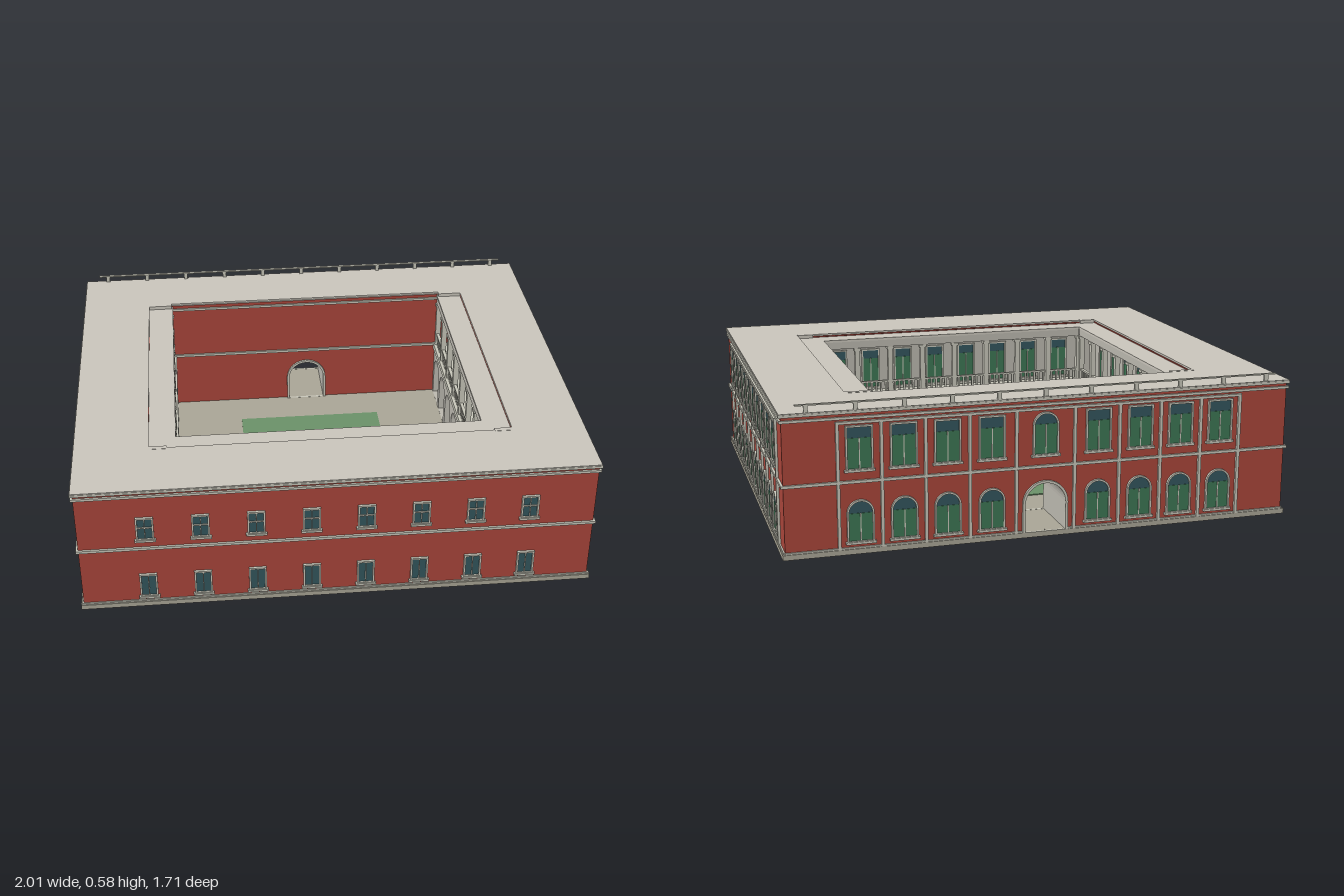
import * as THREE from 'three';

const mat = (name, color) => Object.assign(new THREE.MeshStandardMaterial({ color }), { name });
const M = {
  red: mat('redPlaster', 0xa8453a), roof: mat('roofStone', 0xc8c4ba), trim: mat('paleTrim', 0xc6c5b8),
  plaster: mat('courtPlaster', 0xbab7ae), floor: mat('paving', 0xa8a495), green: mat('greenShutter', 0x3c7553),
  glass: mat('windowGlass', 0x33555c), lawn: mat('lawn', 0x6a9068),
};
const WX = 0.99, WZ = 0.84, TOP = 0.535, IX = 0.71, IB = -0.59, IF = 0.57; // wall planes

function add(parent, name, geo, material, x = 0, y = 0, z = 0) {
  const m = new THREE.Mesh(geo, material);
  m.name = name;
  m.position.set(x, y, z);
  parent.add(m);
  return m;
}
// box given by its ranges
function box(parent, name, material, x0, x1, y0, y1, z0, z1) {
  return add(parent, name, new THREE.BoxGeometry(x1 - x0, y1 - y0, z1 - z0), material,
    (x0 + x1) / 2, (y0 + y1) / 2, (z0 + z1) / 2);
}
const rect = (T, x0, x1, y0, y1) => new T([[x0, y0], [x1, y0], [x1, y1], [x0, y1]].map(p => new THREE.Vector2(...p)));
// opening standing on y0, round-headed when arched
function opening(T, x, w, y0, y1, arched) {
  if (!arched) return rect(T, x - w / 2, x + w / 2, y0, y1);
  const p = new T();
  p.moveTo(x - w / 2, y0);
  p.lineTo(x + w / 2, y0);
  p.lineTo(x + w / 2, y1 - w / 2);
  p.absarc(x, y1 - w / 2, w / 2, 0, Math.PI, false);
  p.lineTo(x - w / 2, y0);
  return p;
}
const extrude = (shape, depth) => new THREE.ExtrudeGeometry(shape, { depth, bevelEnabled: false, curveSegments: 10 });

// horizontal ring around a rectangular hole
function ring(parent, name, material, o, h, y, t) {
  const s = rect(THREE.Shape, o[0], o[1], -o[3], -o[2]);
  s.holes.push(rect(THREE.Path, h[0], h[1], -h[3], -h[2]));
  add(parent, name, extrude(s, t).rotateX(-Math.PI / 2), material, 0, y, 0);
}

// window on a wall facing local +z
function windowUnit(parent, name, x, w, y0, y1, { arched = false, shutter = 1, cross = false, z = 0 } = {}) {
  const g = new THREE.Group();
  g.name = name;
  g.position.set(x, 0, z);
  parent.add(g);
  const f = 0.007, split = y0 + (y1 - y0) * shutter;
  add(g, 'glass', extrude(opening(THREE.Shape, 0, w, y0, y1, arched), 0.003), M.glass);
  if (shutter > 0) box(g, 'shutters', M.green, -w / 2, w / 2, y0, split, 0, 0.005);
  const frame = opening(THREE.Shape, 0, w + 2 * f, y0 - f, y1 + f, arched);
  frame.holes.push(opening(THREE.Path, 0, w, y0, y1, arched));
  add(g, 'frame', extrude(frame, 0.01), M.trim);
  box(g, 'mullion', M.trim, -0.002, 0.002, y0, shutter > 0 ? split : y1, 0, 0.008);
  if (cross) box(g, 'crossbar', M.trim, -w / 2, w / 2, y0 + 0.048, y0 + 0.053, 0, 0.008);
  box(g, 'sill', M.trim, -w / 2 - 0.013, w / 2 + 0.013, y0 - 0.012, y0 - 0.003, 0, 0.014);
}

function facade(parent, name, x, z, turn) {
  const g = new THREE.Group();
  g.name = name;
  g.position.set(x, 0, z);
  g.rotation.y = turn;
  parent.add(g);
  return g;
}

// tall windows between slim pilasters; the gate replaces the middle ground window
function grandFacade(g, xs, edges, gate) {
  for (const x of xs) {
    const middle = gate && x === 0;
    windowUnit(g, 'upperWindow', x, 0.088, 0.325, 0.48, { shutter: 0.74, arched: middle });
    if (!middle) windowUnit(g, 'archedWindow', x, 0.088, 0.05, 0.2, { shutter: 0.7, arched: true });
  }
  for (const e of edges) {
    box(g, 'pilaster', M.trim, e - 0.006, e + 0.006, 0.02, 0.27, 0, 0.01);
    box(g, 'pilaster', M.trim, e - 0.006, e + 0.006, 0.28, 0.5, 0, 0.01);
  }
  box(g, 'upperMoulding', M.trim, edges[0] - 0.006, edges[edges.length - 1] + 0.006, 0.494, 0.504, 0, 0.011);
}

// two-storey courtyard gallery, front plane at local z = 0, wall at z = -d
function gallery(g, w, n, d) {
  const step = w / n, half = w / 2;
  const wall = rect(THREE.Shape, -half, half, 0.02, 0.25);
  for (let i = 0; i < n; i++)
    wall.holes.push(opening(THREE.Path, -half + (i + 0.5) * step, step - 0.035, 0.021, 0.215, true));
  add(g, 'arcade', extrude(wall, 0.025), M.plaster, 0, 0, -0.025);
  box(g, 'galleryWall', M.plaster, -half - d, half + d, 0.02, 0.53, -d - 0.004, -d + 0.004);
  box(g, 'galleryFloor', M.trim, -half - d, half + d, 0.25, 0.275, -d, 0.006);
  box(g, 'galleryBeam', M.plaster, -half, half, 0.49, 0.525, -0.025, 0);
  box(g, 'handrail', M.trim, -half, half, 0.325, 0.333, -0.018, -0.004);
  for (let i = 0; i <= n; i++) {
    const x = -half + i * step;
    box(g, 'post', M.trim, x - 0.011, x + 0.011, 0.275, 0.49, -0.023, 0);
    box(g, 'capital', M.trim, x - 0.016, x + 0.016, 0.478, 0.49, -0.025, 0.005);
    if (i === n) break;
    for (let k = 1; k < 7; k++) {
      const bx = x + k * step / 7;
      box(g, 'baluster', M.trim, bx - 0.004, bx + 0.004, 0.275, 0.325, -0.015, -0.007);
    }
    windowUnit(g, 'galleryDoor', x + step / 2, 0.07, 0.29, 0.46, { shutter: 0.78, z: -d + 0.004 });
    windowUnit(g, 'groundDoor', x + step / 2, 0.07, 0.035, 0.19, { shutter: 0.75, arched: true, z: -d + 0.004 });
  }
}

export function createModel() {
  const model = new THREE.Group();
  model.name = 'courtyardBuilding';

  // base and courtyard ground
  box(model, 'base', M.floor, -1, 1, 0, 0.02, -0.85, 0.85);
  box(model, 'lawn', M.lawn, -0.315, 0.315, 0.019, 0.024, -0.41, 0.02);

  // wings
  for (const s of [-1, 1]) box(model, 'sideWing', M.red, s > 0 ? IX : -WX, s > 0 ? WX : -IX, 0.01, TOP, -WZ, WZ);
  box(model, 'frontWing', M.red, -IX, IX, 0.01, TOP, IF, WZ);

  // rear wing pierced by the vaulted gateway
  const gw = 0.08, spring = 0.13;
  const rear = new THREE.Shape();
  rear.moveTo(-IX, 0.015);
  rear.lineTo(-gw, 0.015);
  rear.lineTo(-gw, spring);
  rear.absarc(0, spring, gw, Math.PI, 0, true);
  rear.lineTo(gw, 0.015);
  rear.lineTo(IX, 0.015);
  rear.lineTo(IX, TOP);
  rear.lineTo(-IX, TOP);
  add(model, 'rearWing', extrude(rear, IB + WZ), [M.red, M.plaster], 0, 0, -WZ);
  const surround = opening(THREE.Shape, 0, 2 * gw + 0.02, 0.02, spring + gw + 0.01, true);
  surround.holes.push(opening(THREE.Path, 0, 2 * gw, 0.0205, spring + gw, true));
  for (const z of [-WZ - 0.01, IB]) add(model, 'gateSurround', extrude(surround, 0.01), M.trim, 0, 0, z);

  // mouldings around the outside
  const hole = [-0.97, 0.97, -0.82, 0.82];
  for (const [name, y, t, out] of [['stringCourse', 0.27, 0.011, 0.009], ['lowerCornice', 0.511, 0.01, 0.008], ['eaves', 0.532, 0.01, 0.01]])
    ring(model, name, M.trim, [-WX - out, WX + out, -WZ - out, WZ + out], hole, y, t);
  for (const s of [-1, 1]) {
    box(model, 'plinth', M.trim, -1, 1, 0.018, 0.026, s > 0 ? WZ : -WZ - 0.006, s > 0 ? WZ + 0.006 : -WZ)
      .scale.x = s > 0 ? 1 : 0.0001;
    box(model, 'sidePlinth', M.trim, s > 0 ? WX : -WX - 0.006, s > 0 ? WX + 0.006 : -WX, 0.018, 0.026, -WZ, WZ);
    box(model, 'rearPlinth', M.trim, s > 0 ? gw : -WX, s > 0 ? WX : -gw, 0.018, 0.026, -WZ - 0.006, -WZ);
  }
  box(model, 'courtStringCourse', M.trim, -0.61, 0.61, 0.27, 0.281, IB, IB + 0.009);
  box(model, 'courtCornice', M.trim, -0.61, 0.61, 0.511, 0.521, IB, IB + 0.008);

  // main roof and the slightly lower gallery roof
  ring(model, 'roof', M.roof, [-0.998, 0.998, -0.848, 0.848], [-IX, IX, IB, IF], 0.538, 0.008);
  for (const s of [-1, 1]) {
    box(model, 'galleryRoof', M.roof, s > 0 ? 0.605 : -IX, s > 0 ? IX : -0.605, 0.522, 0.532, IB, IF);
    for (const [a, z] of [[0.61, -0.58], [0.64, 0.57]])
      box(model, 'roofCap', M.roof, s > 0 ? a : -IX, s > 0 ? IX : -a, 0.53, 0.547, z - 0.01, z + 0.01);
  }
  box(model, 'galleryRoof', M.roof, -0.605, 0.605, 0.522, 0.532, 0.478, IF);

  // plain front
  const front = facade(model, 'frontFacade', 0, WZ, 0);
  for (let i = 0; i < 8; i++) {
    const x = -0.735 + i * 0.21;
    windowUnit(front, 'upperWindow', x, 0.054, 0.322, 0.412, { shutter: 0, cross: true });
    windowUnit(front, 'lowerWindow', x, 0.054, 0.05, 0.145, { shutter: 0 });
  }

  // ornate sides and rear
  const sideXs = Array.from({ length: 10 }, (_, i) => (i - 4.5) * 0.1425);
  const sideEdges = Array.from({ length: 11 }, (_, i) => (i - 5) * 0.1425);
  for (const s of [-1, 1])
    grandFacade(facade(model, s > 0 ? 'leftFacade' : 'rightFacade', s * WX, -0.0165, s * Math.PI / 2), sideXs, sideEdges, false);
  const rearXs = [-0.71, -0.545, -0.38, -0.21, 0, 0.21, 0.38, 0.545, 0.71];
  const rearEdges = [-0.79, -0.628, -0.463, -0.295, -0.115, 0.115, 0.295, 0.463, 0.628, 0.79];
  grandFacade(facade(model, 'rearFacade', 0, -WZ, Math.PI), rearXs, rearEdges, true);

  // courtyard galleries
  gallery(facade(model, 'frontGallery', 0, 0.48, Math.PI), 1.21, 8, 0.09);
  for (const s of [-1, 1]) gallery(facade(model, 'sideGallery', s * 0.607, -0.055, -s * Math.PI / 2), 1.07, 7, 0.1);

  // portico
  box(model, 'porticoRoof', M.roof, -0.32, 0.315, 0.25, 0.275, 0.37, 0.432);
  for (const z of [0.447, 0.466]) box(model, 'porticoBeam', M.roof, -0.32, 0.315, 0.255, 0.272, z - 0.007, z + 0.007);
  for (let i = 0; i < 5; i++) {
    const x = -0.3 + i * 0.149;
    add(model, 'porticoColumn', new THREE.CylinderGeometry(0.011, 0.013, 0.23, 12), M.trim, x, 0.135, 0.39);
    box(model, 'columnBase', M.trim, x - 0.017, x + 0.017, 0.02, 0.035, 0.373, 0.407);
  }

  // railing along the rear roof edge
  for (let i = 0; i < 11; i++) {
    const x = -0.9 + i * 0.18;
    box(model, 'railPost', M.trim, x - 0.008, x + 0.008, 0.545, 0.572, -0.844, -0.834);
  }
  box(model, 'roofRail', M.trim, -0.94, 0.94, 0.571, 0.576, -0.845, -0.833);
  return model;
}
